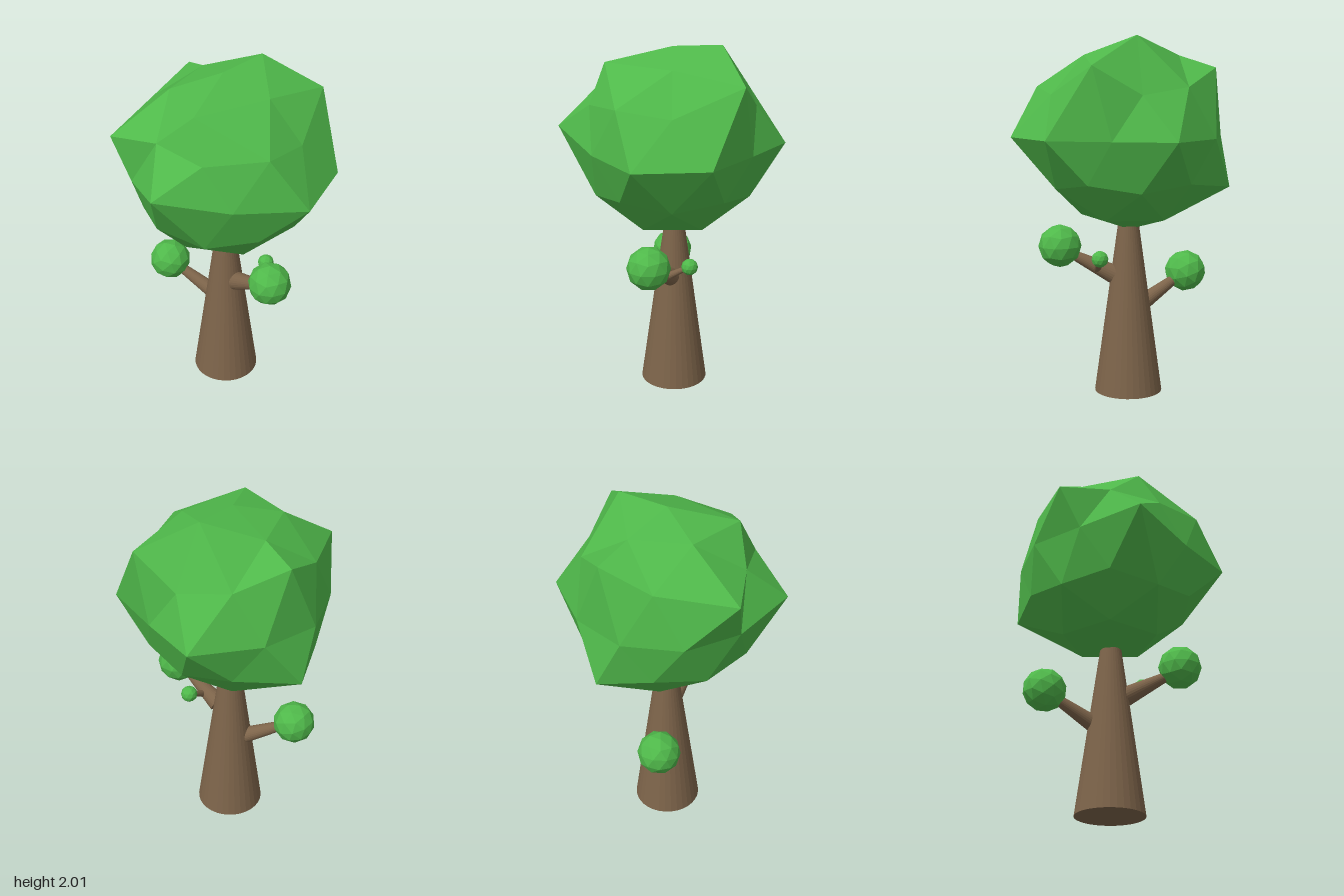
import * as THREE from 'three';

const leaf = new THREE.MeshStandardMaterial({ color: 0x4fb84a, flatShading: true });
const bark = new THREE.MeshStandardMaterial({ color: 0x7d644a, flatShading: true });

function addMesh(parent, name, geometry, material) {
  const mesh = new THREE.Mesh(geometry, material);
  mesh.name = name;
  parent.add(mesh);
  return mesh;
}

// Low-poly ball with a vertex at each pole and one of the upper ring on +x
function leafBall(radius) {
  const g = new THREE.IcosahedronGeometry(radius, 1);
  g.rotateZ(-Math.atan(2 / (1 + Math.sqrt(5))));
  return g;
}

// Pulls single corners of the ball: [height / radius, angle in degrees, dx, dy, dz]
function pullCorners(geometry, radius, pulls) {
  const pos = geometry.attributes.position;
  const corners = pulls.map(([h, deg, ...move]) => {
    const a = THREE.MathUtils.degToRad(deg);
    const r = radius * Math.sqrt(1 - h * h);
    return {
      at: new THREE.Vector3(r * Math.cos(a), radius * h, r * Math.sin(a)),
      move: new THREE.Vector3(...move),
    };
  });
  const v = new THREE.Vector3();
  for (let i = 0; i < pos.count; i++) {
    v.fromBufferAttribute(pos, i);
    const hit = corners.find((c) => c.at.distanceTo(v) < radius * 0.1);
    if (hit) v.add(hit.move);
    pos.setXYZ(i, v.x, v.y, v.z);
  }
  geometry.computeVertexNormals();
  return geometry;
}

// Tapered limb between two points
function addLimb(parent, name, from, to, r0, r1, sides) {
  const a = new THREE.Vector3(...from);
  const b = new THREE.Vector3(...to);
  const dir = b.clone().sub(a);
  const mesh = addMesh(parent, name, new THREE.CylinderGeometry(r1, r0, dir.length(), sides), bark);
  mesh.position.copy(a).add(b).multiplyScalar(0.5);
  mesh.quaternion.setFromUnitVectors(new THREE.Vector3(0, 1, 0), dir.normalize());
}

export function createModel() {
  const tree = new THREE.Group();
  tree.name = 'tree';

  // Trunk and branches
  addLimb(tree, 'trunk', [0.02, 0, -0.055], [0.02, 1.02, -0.055], 0.192, 0.052, 32);
  addLimb(tree, 'frontBranch', [0.025, 0.68, 0.03], [0.005, 0.8, 0.27], 0.055, 0.025, 24);
  addLimb(tree, 'backBranch', [0, 0.51, -0.15], [-0.1, 0.64, -0.38], 0.047, 0.025, 24);
  addLimb(tree, 'twig', [0.02, 0.705, 0.125], [0.17, 0.795, 0.125], 0.024, 0.012, 16);

  // Main crown, with some corners pulled outward
  const R = 0.525;
  const crown = pullCorners(leafBall(R), R, [
    [0.851, 0, 0, 0.1, 0],
    [0.851, 144, -0.11, 0, 0],
    [0.526, 36, 0.115, 0.11, 0],
    [0.526, 108, 0, 0, 0.08],
    [0.447, -72, 0, 0.145, -0.01],
    [0.447, -144, -0.155, 0, 0],
    [0, -18, 0.1, 0, 0],
    [0, 54, 0.07, 0, 0.07],
    [0, 90, 0, 0, 0.135],
    [0, 162, -0.12, 0.073, 0],
    [-0.526, -72, 0, 0, -0.12],
  ]);
  addMesh(tree, 'crown', crown, leaf).position.set(0.01, 1.46, -0.06);

  // Leaf balls at the branch ends
  const balls = [
    ['frontLeaves', 0.122, [0.005, 0.847, 0.333], [0, 0, 0]],
    ['backLeaves', 0.12, [-0.113, 0.662, -0.412], [-0.7, 0, 0.4]],
    ['twigLeaves', 0.047, [0.172, 0.795, 0.126], [0, 0, 0]],
  ];
  for (const [name, r, at, turn] of balls) {
    const ball = addMesh(tree, name, pullCorners(leafBall(r), r, []), leaf);
    ball.position.set(...at);
    ball.rotation.set(...turn);
  }
  return tree;
}
